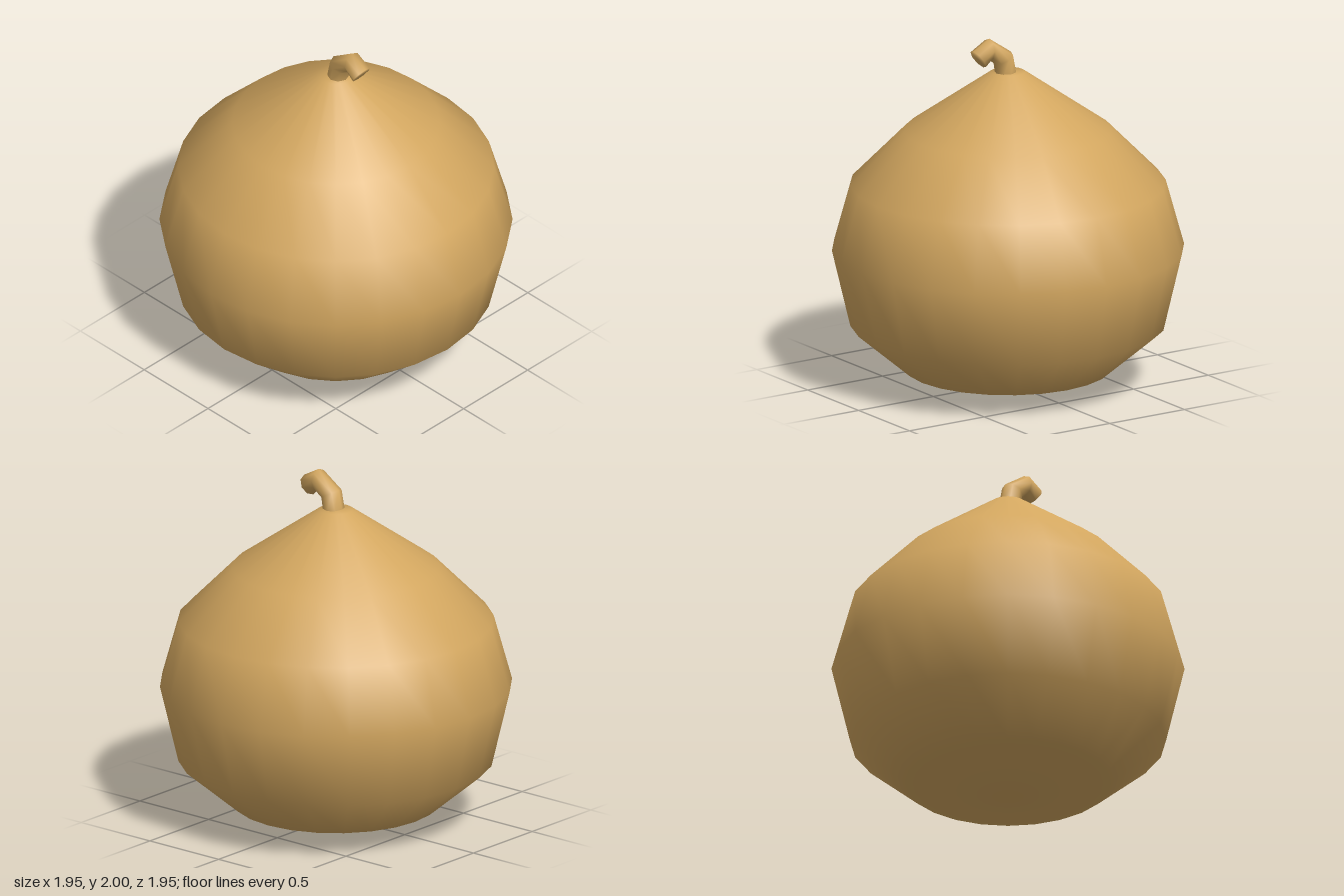
import * as THREE from 'three';

const SIDES = 8;

// Bent stalk: octagonal rings along a path, closed at the tip
function stalkGeometry(rings, radius) {
  const pos = [], index = [];
  for (const [x, y, tilt] of rings) {
    const t = THREE.MathUtils.degToRad(tilt);
    for (let j = 0; j < SIDES; j++) {
      const a = (j / SIDES) * Math.PI * 2;
      const out = radius * Math.cos(a);
      pos.push(x - out * Math.cos(t), y + out * Math.sin(t), radius * Math.sin(a));
    }
  }
  for (let i = 0; i < rings.length - 1; i++) {
    for (let j = 0; j < SIDES; j++) {
      const k = (j + 1) % SIDES;
      const a = i * SIDES + j, b = i * SIDES + k;
      index.push(a, b, b + SIDES, a, b + SIDES, a + SIDES);
    }
  }
  // Tip cap
  const last = (rings.length - 1) * SIDES;
  const [tx, ty] = rings[rings.length - 1];
  pos.push(tx, ty, 0);
  for (let j = 0; j < SIDES; j++) {
    index.push(last + SIDES, last + j, last + ((j + 1) % SIDES));
  }
  const geo = new THREE.BufferGeometry();
  geo.setAttribute('position', new THREE.Float32BufferAttribute(pos, 3));
  geo.setIndex(index);
  geo.computeVertexNormals();
  return geo;
}

export function createModel() {
  const group = new THREE.Group();
  group.name = 'gourd';
  const tan = new THREE.MeshStandardMaterial({ color: 0xd2a65f });
  tan.name = 'tan';

  // Round body tapering to a small flat top
  const profile = [
    [0, 0], [0.1, 0], [0.575, 0.09], [0.875, 0.345], [0.977, 0.78],
    [0.875, 1.15], [0.575, 1.455], [0.095, 1.79], [0, 1.79],
  ].map(([r, y]) => new THREE.Vector2(r, y));
  const body = new THREE.Mesh(new THREE.LatheGeometry(profile, 24), tan);
  body.name = 'body';
  group.add(body);

  // Crooked stem: centre x, centre y, tilt from vertical in degrees
  const stem = new THREE.Mesh(stalkGeometry([
    [0.016, 1.785, 10], [0.033, 1.873, 28], [0.127, 1.938, 88], [0.199, 1.89, 123],
  ], 0.06), tan);
  stem.name = 'stem';
  group.add(stem);

  return group;
}
